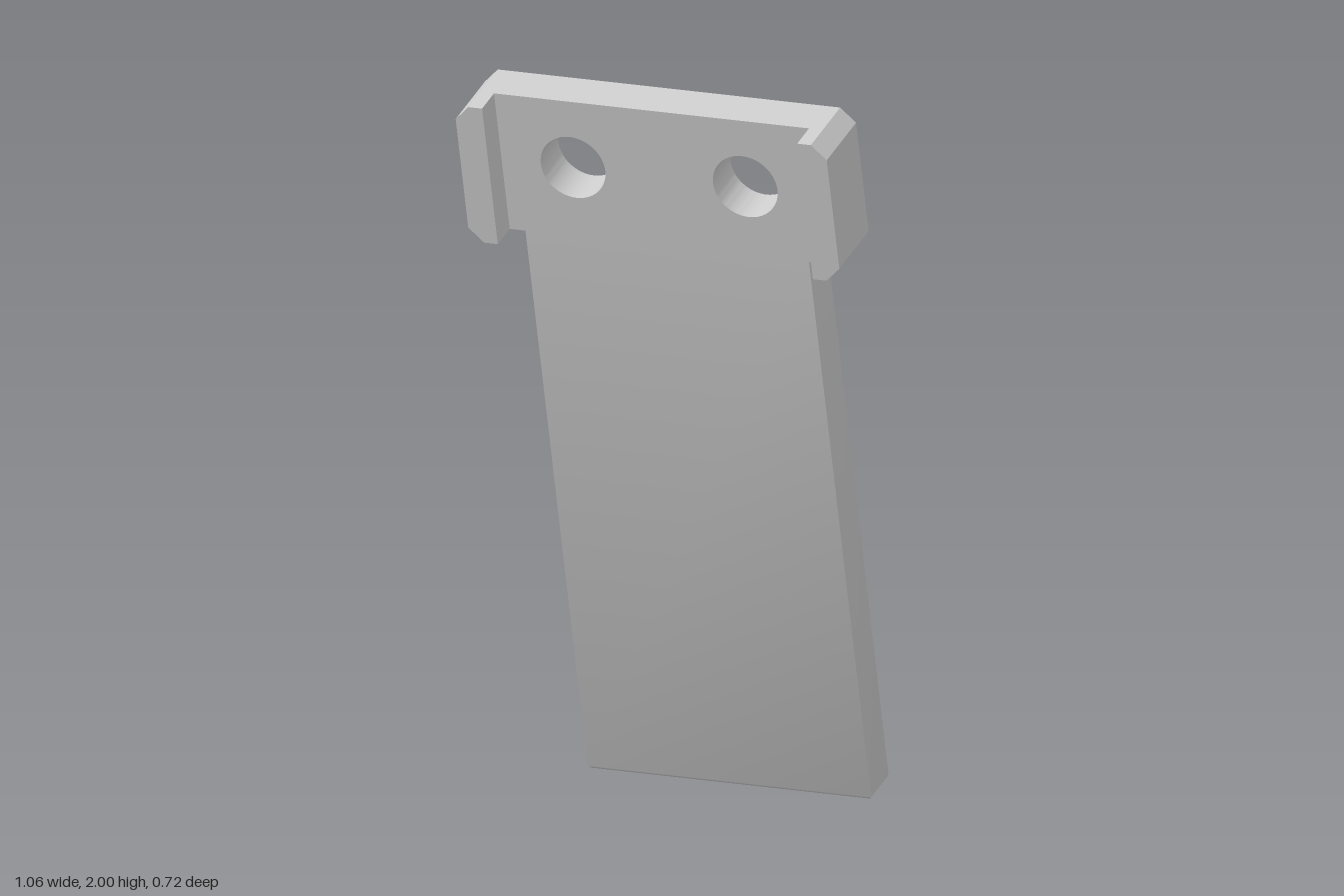
import * as THREE from 'three';
import { toCreasedNormals } from 'three/addons/utils/BufferGeometryUtils.js';

const LENGTH = 2.042, HEAD = 0.41, THICK = 0.122, RAIL_DEPTH = 0.083;
const HALF_BLADE = 0.405, HALF_HEAD = 0.53, RAIL_IN = 0.45, CHAMFER = 0.041, FILLET = 0.02;
const TILT = Math.PI / 12;

const material = new THREE.MeshStandardMaterial({ color: 0xcccccc });

function part(name, geometry, z = 0) {
  const mesh = new THREE.Mesh(toCreasedNormals(geometry, 0.5), material);
  mesh.name = name;
  mesh.position.z = z;
  return mesh;
}

const extrude = (shape, depth) =>
  new THREE.ExtrudeGeometry(shape, { depth, bevelEnabled: false, curveSegments: 32 });

const outline = (points) => new THREE.Shape(points.map(([x, y]) => new THREE.Vector2(x, y)));

// Long blade whose four lower edges are filleted
function bladeGeometry() {
  const steps = 8, height = LENGTH - HEAD;
  const g = new THREE.BoxGeometry(2, 1, 2, 1, steps + 1, 1);
  const p = g.attributes.position;
  for (let i = 0; i < p.count; i++) {
    const row = Math.round((p.getY(i) + 0.5) * (steps + 1));
    const a = (Math.min(row, steps) / steps) * Math.PI / 2;
    const inset = FILLET * (1 - Math.sin(a));
    const y = row > steps ? height : FILLET * (1 - Math.cos(a));
    p.setXYZ(i, p.getX(i) * (HALF_BLADE - inset), y,
      THICK / 2 + p.getZ(i) * (THICK / 2 - inset));
  }
  g.computeVertexNormals();
  return g;
}

export function createModel() {
  const model = new THREE.Group();
  model.name = 'slottedPlate';
  const body = new THREE.Group();
  body.name = 'tiltedBody';
  body.rotation.x = TILT;
  body.position.set(0, 2 - LENGTH * Math.cos(TILT), 0.163 - LENGTH * Math.sin(TILT));
  model.add(body);

  body.add(part('blade', bladeGeometry()));

  // Wide head with chamfered corners and two round holes
  const top = LENGTH, low = LENGTH - HEAD, w = HALF_HEAD, c = CHAMFER;
  const head = outline([
    [-w + c, low], [w - c, low], [w, low + c], [w, top - c],
    [w - c, top], [-w + c, top], [-w, top - c], [-w, low + c],
  ]);
  for (const side of [-1, 1]) {
    head.holes.push(new THREE.Path().absarc(side * 0.246, top - 0.2, 0.092, 0, Math.PI * 2, true));
  }
  body.add(part('head', extrude(head, THICK)));

  // Raised rails along both sides of the head
  for (const side of [-1, 1]) {
    const rail = outline([
      [RAIL_IN, low], [w - c, low], [w, low + c],
      [w, top - c], [w - c, top], [RAIL_IN, top],
    ].map(([x, y]) => [side * x, y]));
    body.add(part(side > 0 ? 'leftRail' : 'rightRail', extrude(rail, RAIL_DEPTH), THICK));
  }
  return model;
}
